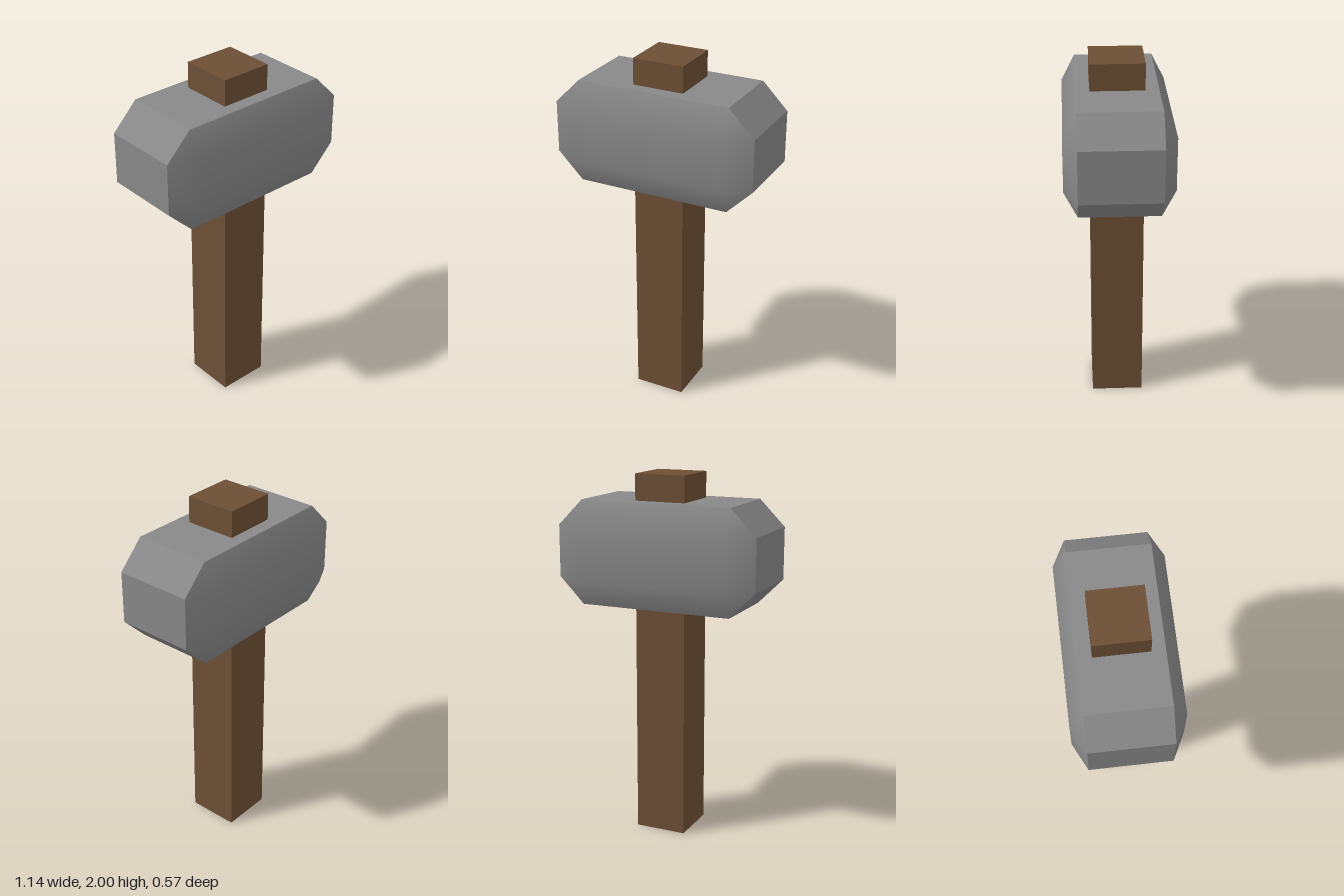
import * as THREE from 'three';

const U = 2 / 14; // modelling unit: the hammer is 14 units tall

// Octagonal outline of the head, counter-clockwise seen from the front
const OUTLINE = [[4, -1], [4, 1], [3, 2], [-3, 2], [-4, 1], [-4, -1], [-3, -2], [3, -2]];
// Raised rectangle in the middle of each broad face, and the corner each outline point leads to
const INNER = [[3, -1], [3, 1], [-3, 1], [-3, -1]];
const CORNER = [0, 1, 1, 2, 2, 3, 3, 0];
const RIM_Z = 1.5, FACE_Z = 2;

function geometryFrom(points, index) {
  const g = new THREE.BufferGeometry();
  g.setAttribute('position', new THREE.Float32BufferAttribute(points.flat().map(v => v * U), 3));
  if (index) g.setIndex(index);
  g.computeVertexNormals();
  return g;
}

// Broad face: slopes from the outline up to the raised rectangle, smoothly shaded
function broadFaceGeometry() {
  const points = [
    ...OUTLINE.map(([x, y]) => [x, y, RIM_Z]),
    ...INNER.map(([x, y]) => [x, y, FACE_Z]),
  ];
  const index = [8, 9, 10, 8, 10, 11];
  for (let j = 0; j < 8; j++) {
    const k = (j + 1) % 8, a = 8 + CORNER[j], b = 8 + CORNER[k];
    index.push(j, k, b);
    if (a !== b) index.push(j, b, a);
  }
  return geometryFrom(points, index);
}

// Band of eight flat faces around the head
function rimGeometry() {
  const points = [];
  OUTLINE.forEach(([x, y], j) => {
    const [X, Y] = OUTLINE[(j + 1) % 8];
    const a = [x, y, RIM_Z], b = [x, y, -RIM_Z], c = [X, Y, -RIM_Z], d = [X, Y, RIM_Z];
    points.push(a, b, c, a, c, d);
  });
  return geometryFrom(points);
}

export function createModel() {
  const stone = new THREE.MeshStandardMaterial({ color: 0x888888 });
  stone.name = 'grey stone';
  const wood = new THREE.MeshStandardMaterial({ color: 0x6c4f35 });
  wood.name = 'brown wood';

  const model = new THREE.Group();
  model.name = 'hammer';

  // Square handle running right through the head
  const handle = new THREE.Mesh(new THREE.BoxGeometry(2 * U, 14 * U, 2 * U), wood);
  handle.name = 'handle';
  handle.position.y = 7 * U;
  model.add(handle);

  // Bevelled head
  const head = new THREE.Group();
  head.name = 'head';
  head.position.y = 11 * U;
  const rim = new THREE.Mesh(rimGeometry(), stone);
  rim.name = 'headRim';
  head.add(rim);
  const faceGeometry = broadFaceGeometry();
  for (const [name, turn] of [['headFrontFace', 0], ['headBackFace', Math.PI]]) {
    const face = new THREE.Mesh(faceGeometry, stone);
    face.name = name;
    face.rotation.y = turn;
    head.add(face);
  }
  model.add(head);

  return model;
}
